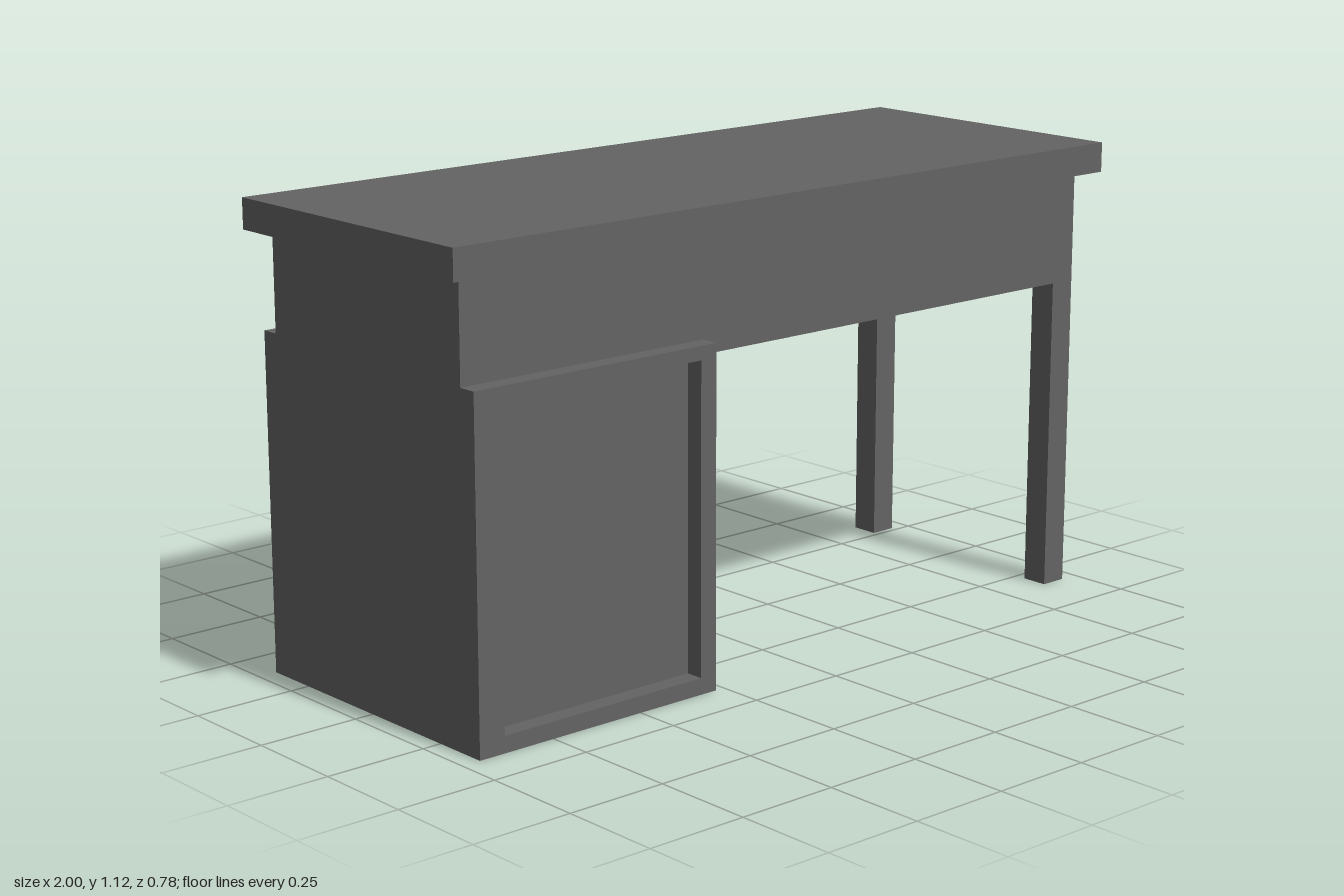
import * as THREE from 'three';

const material = new THREE.MeshStandardMaterial({ color: 0x636363, flatShading: true });

export function createModel() {
  const desk = new THREE.Group();
  desk.name = 'desk';

  const add = (name, geometry) => {
    const mesh = new THREE.Mesh(geometry, material);
    mesh.name = name;
    desk.add(mesh);
    return mesh;
  };

  // Box given by its minimum and maximum on each axis
  const box = (name, x0, x1, y0, y1, z0, z1) => {
    const mesh = add(name, new THREE.BoxGeometry(x1 - x0, y1 - y0, z1 - z0));
    mesh.position.set((x0 + x1) / 2, (y0 + y1) / 2, (z0 + z1) / 2);
  };

  // Rectangular frame around the pedestal opening
  const L = -0.953, R = -0.275, inL = -0.885, inR = -0.32;
  const pedestalTop = 0.813, front = 0.345, back = -0.335, core = -0.315;
  const frame = (name, z0, z1) => {
    const rect = (Type, x0, x1, y0, y1) => new Type([
      new THREE.Vector2(x0, y0), new THREE.Vector2(x1, y0),
      new THREE.Vector2(x1, y1), new THREE.Vector2(x0, y1),
    ]);
    const shape = rect(THREE.Shape, L, R, 0, pedestalTop);
    shape.holes.push(rect(THREE.Path, inL, inR, 0.04, 0.78));
    const mesh = add(name, new THREE.ExtrudeGeometry(shape, { depth: z1 - z0, bevelEnabled: false }));
    mesh.position.z = z0;
  };

  // Table top, legs and aprons
  box('tableTop', -1, 1, 1.05, 1.123, -0.38, 0.39);
  box('frontLeg', 0.885, 0.953, 0, 1.05, 0.278, front);
  box('backLeg', 0.885, 0.953, 0, 1.05, back, -0.265);
  box('sideApron', 0.885, 0.953, 0.778, 1.05, -0.265, 0.278);
  box('frontApron', R, 0.885, 0.778, 1.05, 0.3, front);

  // Open compartment floor between the drawer case and the legs
  box('shelf', R, 0.885, 0.778, 0.81, back, 0.3);

  // Pedestal body with a recessed panel framed at both ends
  box('pedestalBody', L, R, 0, pedestalTop, core, front);
  frame('pedestalFrontFrame', front, 0.39);
  frame('pedestalBackFrame', -0.38, core);

  // Two lower drawers: front panel, finger slot and a strip with a sloped top edge
  for (const [name, bottom, slot, top] of [['upper', 0.41, 0.66, 0.78], ['lower', 0.04, 0.29, 0.41]]) {
    box(name + 'DrawerFront', inL, inR, bottom, slot, back, core);
    const profile = new THREE.Shape([
      [-core, slot + 0.02], [0.343, slot + 0.02], [0.343, top - 0.036], [-back, top], [-core, top],
    ].map(([x, y]) => new THREE.Vector2(x, y)));
    const strip = add(name + 'DrawerStrip',
      new THREE.ExtrudeGeometry(profile, { depth: inR - inL, bevelEnabled: false }));
    strip.rotation.y = Math.PI / 2;
    strip.position.x = inL;
  }

  // Top drawer case and its bevelled front
  box('drawerCase', L, R, pedestalTop, 1.05, back, front);
  const bevel = 0.015;
  const panel = new THREE.BoxGeometry(inR - inL, 1.05 - pedestalTop, bevel);
  const p = panel.attributes.position;
  for (let i = 0; i < p.count; i++) {
    if (p.getZ(i) < 0) {
      p.setX(i, p.getX(i) - Math.sign(p.getX(i)) * bevel);
      p.setY(i, p.getY(i) - Math.sign(p.getY(i)) * bevel);
    }
  }
  panel.computeVertexNormals();
  add('topDrawerFront', panel).position.set((inL + inR) / 2, (1.05 + pedestalTop) / 2, back - bevel / 2);

  // Square knob
  box('knobStem', -0.63, -0.58, 0.907, 0.957, -0.376, -0.35);
  box('knobPlate', -0.643, -0.567, 0.894, 0.97, -0.39, -0.376);

  return desk;
}
